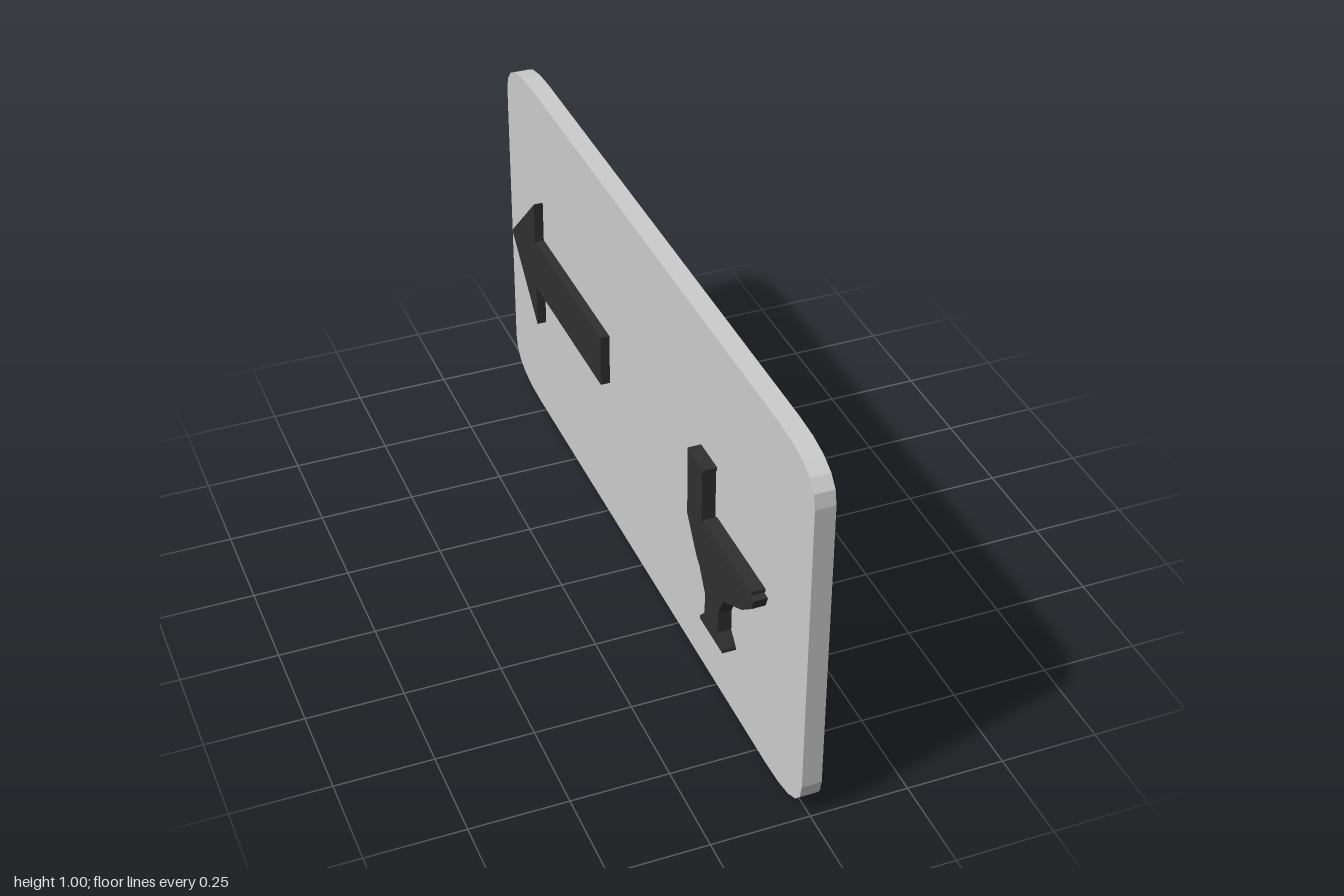
import * as THREE from 'three';

const panelGrey = new THREE.MeshStandardMaterial({ color: 0xcccccc, name: 'panelGrey' });
const symbolBlack = new THREE.MeshStandardMaterial({ color: 0x303030, name: 'symbolBlack' });

// Extrude an outline drawn in (z, y) symmetrically along x
function slab(name, shape, thickness, material, curveSegments = 5) {
  const geo = new THREE.ExtrudeGeometry(shape, { depth: thickness, bevelEnabled: false, curveSegments });
  geo.translate(0, 0, -thickness / 2);
  geo.rotateY(-Math.PI / 2);
  const mesh = new THREE.Mesh(geo, material);
  mesh.name = name;
  return mesh;
}

const outline = (points) => new THREE.Shape(points.map(([z, y]) => new THREE.Vector2(z, y)));
const rect = (z0, y0, z1, y1) => outline([[z0, y0], [z1, y0], [z1, y1], [z0, y1]]);

export function createModel() {
  const model = new THREE.Group();
  model.name = 'directionSign';

  // Panel with stretched rounded corners
  const panel = new THREE.Shape();
  panel.moveTo(-0.8, 0);
  panel.lineTo(0.8, 0);
  panel.quadraticCurveTo(1, 0, 1, 0.1);
  panel.lineTo(1, 0.9);
  panel.quadraticCurveTo(1, 1, 0.8, 1);
  panel.lineTo(-0.8, 1);
  panel.quadraticCurveTo(-1, 1, -1, 0.9);
  panel.lineTo(-1, 0.1);
  panel.quadraticCurveTo(-1, 0, -0.8, 0);
  model.add(slab('panel', panel, 0.05, panelGrey));

  // Arrow, raised on both faces
  const arrow = outline([
    [-0.23, 0.43], [-0.23, 0.575], [-0.73, 0.575], [-0.73, 0.692],
    [-0.925, 0.502], [-0.73, 0.31], [-0.73, 0.43],
  ]);
  model.add(slab('arrow', arrow, 0.1, symbolBlack));

  // Toilet symbol: bowl with pedestal and tank, tank lid and seat
  const toilet = new THREE.Group();
  toilet.name = 'toiletSymbol';
  const body = outline([
    [0.47, 0.203], [0.61, 0.203], [0.608, 0.21], [0.58, 0.24], [0.58, 0.3], [0.608, 0.357],
    [0.717, 0.418], [0.77, 0.462], [0.781, 0.492], [0.472, 0.492],
    [0.472, 0.641], [0.383, 0.641], [0.383, 0.46], [0.444, 0.373],
    [0.463, 0.357], [0.499, 0.3], [0.499, 0.24], [0.472, 0.21],
  ]);
  toilet.add(
    slab('bowlAndTank', body, 0.12, symbolBlack),
    slab('tankLid', rect(0.38, 0.641, 0.478, 0.65), 0.12, symbolBlack),
    slab('seat', rect(0.482, 0.498, 0.766, 0.508), 0.12, symbolBlack),
    slab('base', rect(0.47, 0.2, 0.61, 0.206), 0.12, symbolBlack),
  );
  model.add(toilet);
  return model;
}
